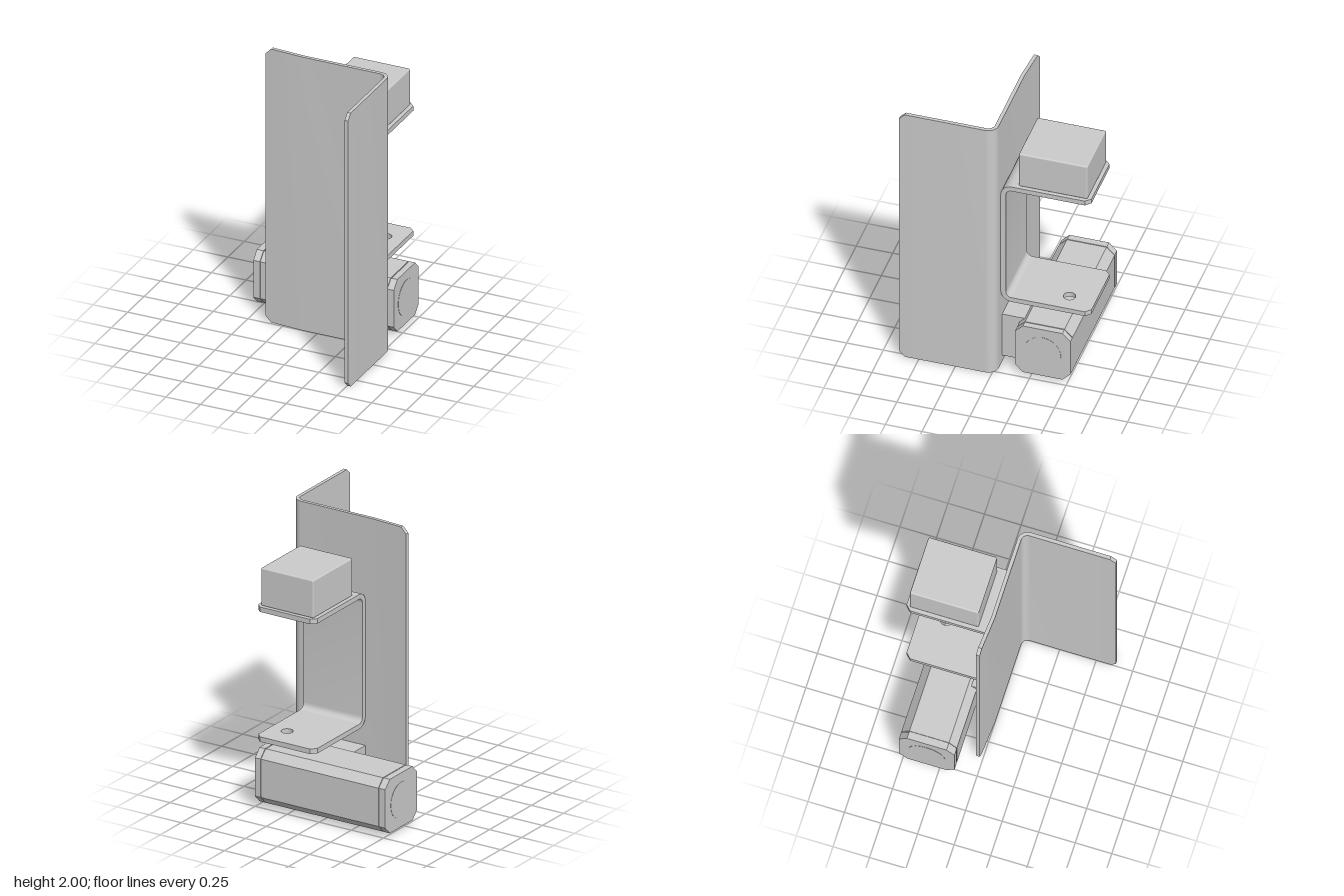
import * as THREE from 'three';
import { toCreasedNormals } from 'three/addons/utils/BufferGeometryUtils.js';
import { RoundedBoxGeometry } from 'three/addons/geometries/RoundedBoxGeometry.js';

const material = new THREE.MeshStandardMaterial({ color: 0xcccccc });

function part(name, geometry) {
  const mesh = new THREE.Mesh(geometry, material);
  mesh.name = name;
  return mesh;
}

// Arc stations for a bend in a sheet, angles in degrees
function bend(cx, cy, r, from, to, lo, hi, n = 10) {
  return Array.from({ length: n + 1 }, (_, i) => {
    const a = THREE.MathUtils.degToRad(from + (to - from) * i / n);
    return [cx + r * Math.cos(a), cy + r * Math.sin(a), lo, hi];
  });
}

// Folded sheet: stations are [x, y, low edge, high edge] along its middle line
function sheet(stations, thickness) {
  const h = thickness / 2, last = stations.length - 1;
  const pts = stations.map(s => new THREE.Vector2(s[0], s[1]));
  const loops = stations.map(([x, y, lo, hi], i) => {
    const t = pts[Math.min(i + 1, last)].clone().sub(pts[i]).normalize();
    const p = pts[i].clone().sub(pts[Math.max(i - 1, 0)]).normalize();
    t.add(p).normalize();
    const nx = -t.y * h, ny = t.x * h;
    return [[x - nx, y - ny, lo], [x + nx, y + ny, lo], [x + nx, y + ny, hi], [x - nx, y - ny, hi]];
  });
  const pos = [];
  const quad = (a, b, c, d) => pos.push(...a, ...b, ...c, ...a, ...c, ...d);
  for (let i = 0; i < last; i++) {
    for (let k = 0; k < 4; k++) {
      const m = (k + 1) % 4;
      quad(loops[i][k], loops[i][m], loops[i + 1][m], loops[i + 1][k]);
    }
  }
  quad(...loops[0].slice().reverse());
  quad(...loops[last]);
  const g = new THREE.BufferGeometry();
  g.setAttribute('position', new THREE.Float32BufferAttribute(pos, 3));
  return toCreasedNormals(g, 0.5);
}

function polygon(points) {
  return new THREE.Shape(points.map(p => new THREE.Vector2(...p)));
}

// Chamfered square prism running along x
function prism(x0, x1, half, cut) {
  const e = half - cut;
  const shape = polygon([[half, -e], [half, e], [e, half], [-e, half], [-half, e], [-half, -e], [-e, -half], [e, -half]]);
  return new THREE.ExtrudeGeometry(shape, { depth: x1 - x0, bevelEnabled: false })
    .rotateY(Math.PI / 2).translate(x0, 0.22, -0.335);
}

export function createModel() {
  const model = new THREE.Group();
  model.name = 'bracketAssembly';

  // Tall angled plate with chamfered free corners
  const plate = sheet([
    [-0.38, 0.033, 0.04, 1.96], [-0.34, 0.03, 0, 2], [-0.11, 0.0125, 0, 2],
    ...bend(0.455, -0.045, 0.0575, 90, 0, 0, 2),
    [0.5125, -0.595, 0, 2], [0.5125, -0.635, 0.04, 1.96],
  ], 0.025);
  model.add(part('anglePlate', plate.rotateX(-Math.PI / 2)));

  // U bracket: bent web, then two flanges with holes
  const bracket = new THREE.Group();
  bracket.name = 'uBracket';
  const lo = -0.05, hi = 0.41;
  const web = sheet([
    [0.12, 1.4625, lo, hi],
    ...bend(0.1, 1.405, 0.0575, 90, 180, lo, hi),
    ...bend(0.1, 0.605, 0.0575, 180, 270, lo, hi),
    [0.12, 0.5475, lo, hi],
  ], 0.035);
  bracket.add(part('bracketWeb', web.rotateY(Math.PI / 2)));
  for (const [name, y] of [['upperFlange', 1.445], ['lowerFlange', 0.53]]) {
    const shape = polygon([[lo, 0.12], [hi, 0.12], [hi, 0.6], [hi - 0.035, 0.635], [lo + 0.035, 0.635], [lo, 0.6]]);
    shape.holes.push(new THREE.Path().absarc(0.28, 0.455, 0.04, 0, Math.PI * 2, true));
    const g = new THREE.ExtrudeGeometry(shape, { depth: 0.035, bevelEnabled: false, curveSegments: 24 });
    bracket.add(part(name, toCreasedNormals(g.rotateX(-Math.PI / 2).translate(0, y, 0), 0.5)));
  }
  model.add(bracket);

  // Block standing on the upper flange
  const block = part('upperBlock', new RoundedBoxGeometry(0.41, 0.267, 0.47, 2, 0.01));
  block.position.set(0.18, 1.6115, -0.375);
  model.add(block);

  // Horizontal housing with grooved end caps and round end discs
  const housing = new THREE.Group();
  housing.name = 'housing';
  housing.add(
    part('housingCore', prism(-0.5, 0.46, 0.184, 0.053)),
    part('housingBody', prism(-0.476, 0.436, 0.19, 0.055)),
    part('rightEndCap', prism(-0.53, -0.482, 0.19, 0.055)),
    part('leftEndCap', prism(0.442, 0.485, 0.19, 0.055)),
  );
  for (const [name, x] of [['rightEndDisc', -0.53], ['leftEndDisc', 0.485]]) {
    const disc = part(name, new THREE.CylinderGeometry(0.125, 0.125, 0.004, 48));
    disc.rotation.z = Math.PI / 2;
    disc.position.set(x, 0.22, -0.335);
    housing.add(disc);
  }
  model.add(housing);

  // Spacer joining the housing to the plate
  const mount = part('housingMount', new THREE.BoxGeometry(0.43, 0.34, 0.16));
  mount.position.set(0.165, 0.22, -0.1);
  model.add(mount);

  return model;
}
